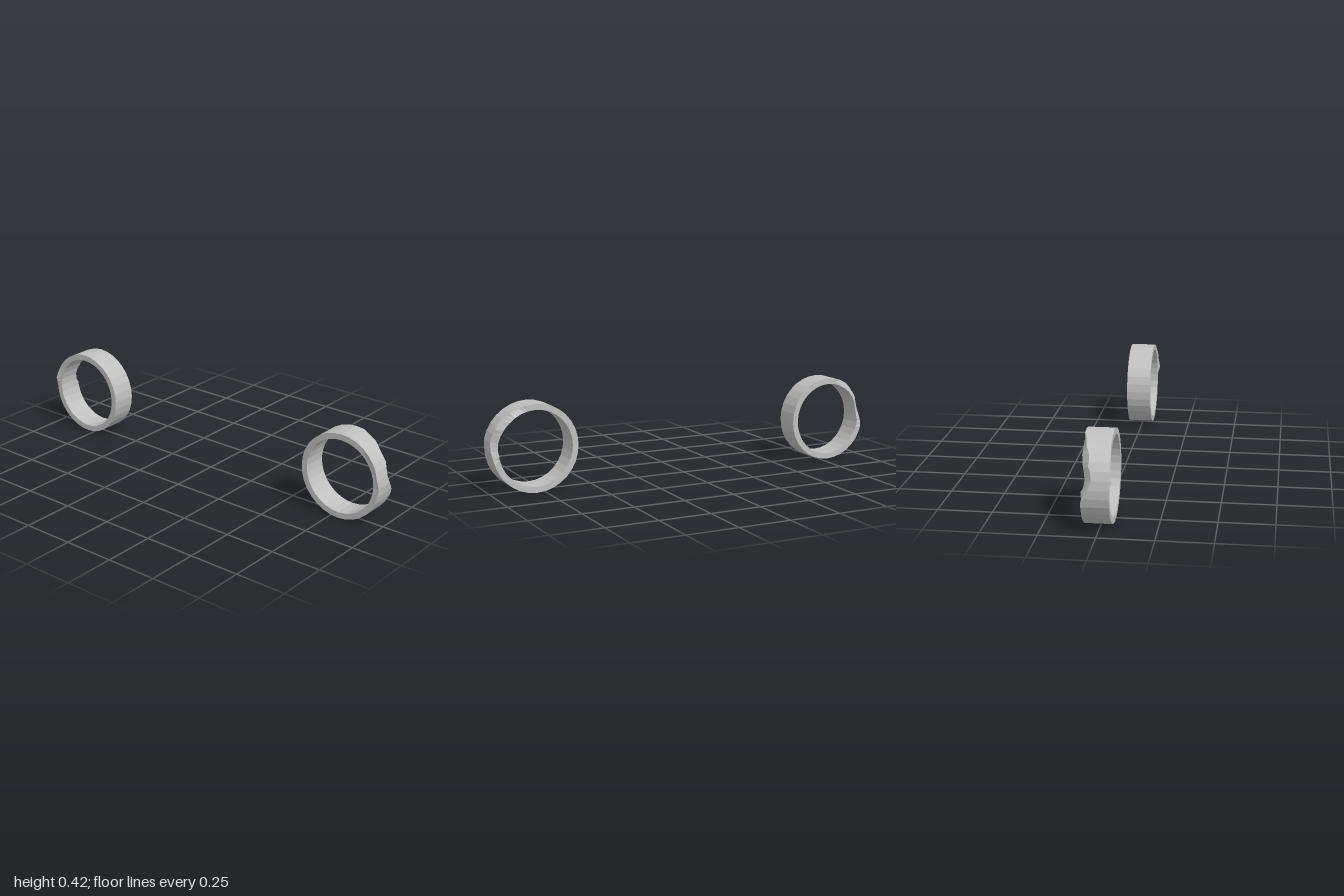
import * as THREE from 'three';

const FRONT = 0.055, BACK = -0.067;
const OUTER = 0.2085, CHAMFER = 0.191, INNER = 0.18;
const SIDES = 32, COLUMNS = SIDES * 2;

// Edge depths for successive half-facet columns; "start" is the first column.
const frontBump = { start: 1, z: [0.061, 0.067, 0.0645, 0.062, 0.059, 0.0595, 0.059, 0.058, 0.056] };
const outerCut = {
  start: -2,
  z: [-0.06, -0.05, -0.036, -0.027, -0.02, -0.022, -0.025, -0.034, -0.032,
    -0.033, -0.036, -0.043, -0.05, -0.053, -0.055, -0.061],
};
const innerCut = { start: 0, z: [-0.057, -0.053, -0.05, -0.052, -0.055, -0.059, -0.062, -0.063] };

function depth(edge, column, flush) {
  const wrapped = column > COLUMNS / 2 ? column - COLUMNS : column;
  return edge.z[wrapped - edge.start] ?? flush;
}

// Cross-section of the band, as [radius, z] from outer front round to the front chamfer
function section(column) {
  return [
    [OUTER, depth(frontBump, column, FRONT)],
    [OUTER, depth(outerCut, column, BACK)],
    [INNER, depth(innerCut, column, BACK)],
    [INNER, FRONT],
    [CHAMFER, FRONT],
  ];
}

// Odd columns lie on the middle of a flat facet
function ringPoints(column, side) {
  const angle = (column / COLUMNS) * Math.PI * 2;
  const shrink = column % 2 ? Math.cos(Math.PI / SIDES) : 1;
  return section(column % COLUMNS).map(([r, z]) => [
    side * Math.cos(angle) * r * shrink, Math.sin(angle) * r * shrink, z,
  ]);
}

function ringGeometry(side) {
  const positions = [];
  for (let i = 0; i < COLUMNS; i++) {
    const a = ringPoints(i, side), b = ringPoints(i + 1, side);
    for (let j = 0; j < a.length; j++) {
      const k = (j + 1) % a.length;
      const quad = [a[j], a[k], b[k], b[j]];
      if (side < 0) quad.reverse();
      for (const n of [0, 1, 2, 0, 2, 3]) positions.push(...quad[n]);
    }
  }
  const geometry = new THREE.BufferGeometry();
  geometry.setAttribute('position', new THREE.Float32BufferAttribute(positions, 3));
  geometry.computeVertexNormals();
  return geometry;
}

export function createModel() {
  const model = new THREE.Group();
  model.name = 'ringPair';
  const grey = new THREE.MeshStandardMaterial({ color: 0xbfbfbf, flatShading: true });
  grey.name = 'grey';

  // Mirrored bands with the bump and notch on their outward sides
  for (const side of [1, -1]) {
    const ring = new THREE.Mesh(ringGeometry(side), grey);
    ring.name = side > 0 ? 'leftRing' : 'rightRing';
    ring.position.set(side * (1 - OUTER), OUTER, 0);
    model.add(ring);
  }
  return model;
}
